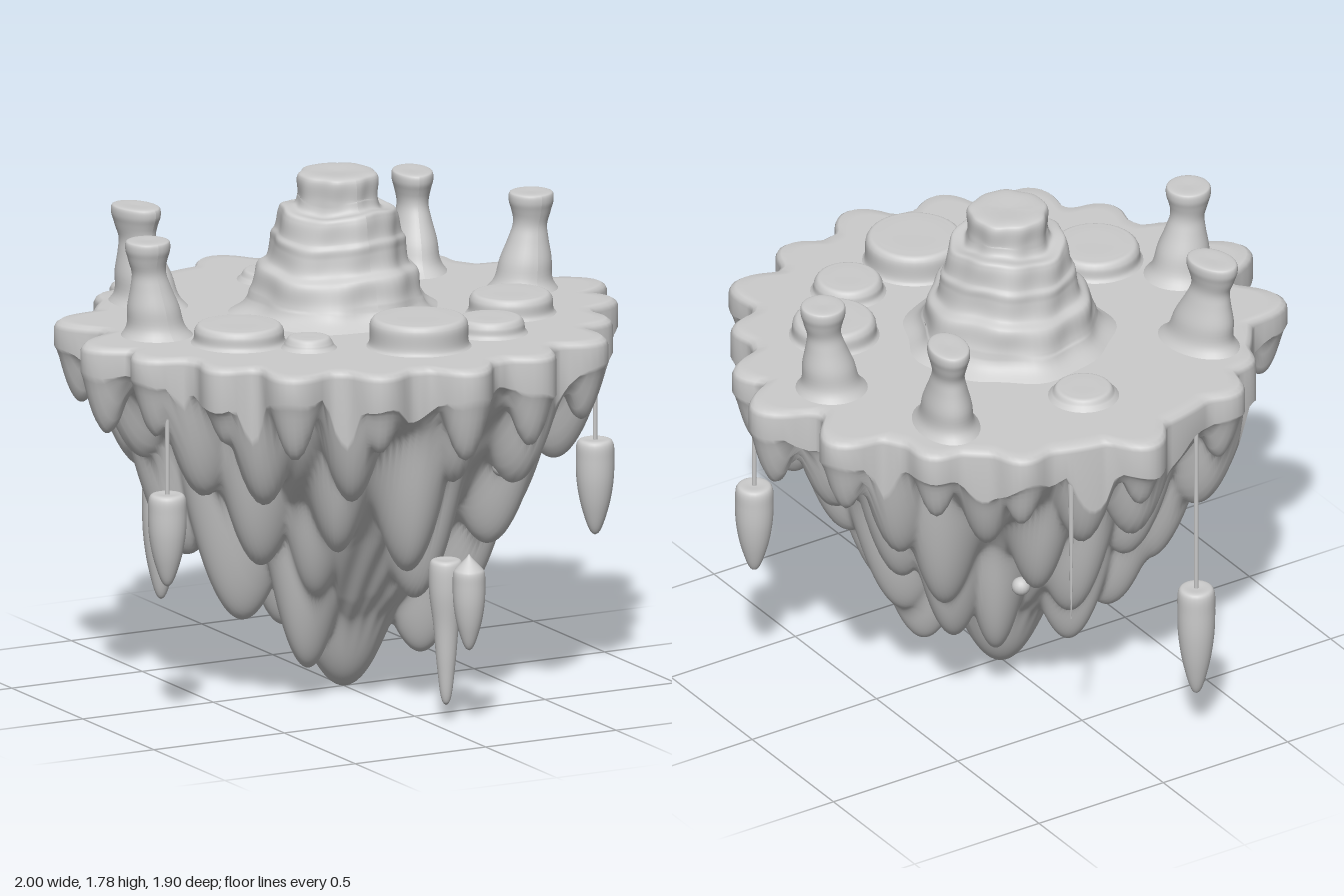
import * as THREE from 'three';

const material = new THREE.MeshStandardMaterial({ color: 0xcccccc });
const TOP = 1.3;

// Rim lobes: x, z of each tip
const rimTips = [
  [0, 0.95], [0, -0.95], [-1, 0], [1, 0], [-0.45, -0.8], [0.43, -0.8], [-0.6, -0.65], [0.68, -0.6],
  [-0.91, -0.37], [0.91, -0.34], [-0.92, 0.23], [0.92, 0.24], [-0.77, 0.5], [0.76, 0.5],
  [-0.61, 0.74], [0.6, 0.75], [-0.32, 0.87], [0.32, 0.87],
].map(([x, z]) => ({ a: Math.atan2(x, z), r: Math.hypot(x, z) }));

// Small seeded jitter in -1..1
let seed = 7;
const jitter = () => {
  seed = (seed * 16807) % 2147483647;
  return (seed / 2147483647) * 2 - 1;
};

const angleGap = (a, b) => Math.atan2(Math.sin(a - b), Math.cos(a - b));

// Smooth minimum, blends the spikes into the rock
const smin = (a, b, k) => {
  const h = Math.max(k - Math.abs(a - b), 0) / k;
  return Math.min(a, b) - h * h * k * 0.25;
};

// Scalloped outline of the island
function outline(a) {
  let r = 0.85;
  for (const t of rimTips) {
    const d = angleGap(a, t.a) * t.r;
    r = -smin(-r, -(t.r - 6.5 * d * d), 0.03);
  }
  return r;
}

// Hanging points: angle, radius, tip height, steepness across and along the slope
const spikes = [{ a: 0, r: 0, tip: 0.01, across: 9, along: 9 }];
for (const t of rimTips) {
  spikes.push({ a: t.a, r: t.r - 0.095, tip: 1 + jitter() * 0.03, across: 27, along: 27 });
}
for (const [n, r, tip, across] of [[15, 0.7, 0.8, 20], [11, 0.51, 0.53, 20], [8, 0.35, 0.33, 22]]) {
  for (let i = 0; i < n; i++) {
    spikes.push({
      a: ((i + 0.3 * jitter()) / n) * Math.PI * 2, r: r + jitter() * 0.03,
      tip: tip + jitter() * 0.07, across, along: 10,
    });
  }
}
for (const [x, z, tip] of [[-0.2, 0.12, 0.12], [0.24, 0.1, 0.12], [0.15, -0.2, 0.2], [-0.1, -0.25, 0.18]]) {
  spikes.push({ a: Math.atan2(x, z), r: Math.hypot(x, z), tip, across: 26, along: 12 });
}

// Core of the rock under the spikes: radius, height
const core = [[0, 0.05], [0.12, 0.2], [0.25, 0.37], [0.4, 0.6], [0.55, 0.8], [0.7, 0.99], [0.82, 1.15], [1.1, 1.3]];

function underside(r, a) {
  let i = 1;
  while (core[i][0] < r && i < core.length - 1) i++;
  const [r0, y0] = core[i - 1], [r1, y1] = core[i];
  let y = y0 + ((y1 - y0) * (r - r0)) / (r1 - r0);
  y += 0.04 * r * Math.sin(a * 9 + r * 8) + 0.02 * r * Math.sin(a * 23 - r * 25);
  y = smin(y, 1.22, 0.05);
  for (const s of spikes) {
    const gap = angleGap(a, s.a);
    const u = r * Math.sin(gap), v = r * Math.cos(gap) - s.r;
    const rise = s.across * u * u + s.along * v * v;
    if (rise < 1.4) y = smin(y, s.tip + rise, 0.06);
  }
  return Math.max(y, 0);
}

// One closed skin: underside from the centre out, then the deck back in
function islandGeometry() {
  const around = 260, under = 105;
  const deck = [[1, 1.275], [0.992, 1.29], [0.975, TOP], [0.93, TOP], [0.6, TOP], [0.3, TOP], [0, TOP]];
  const rows = under + 1 + deck.length;
  const pos = [], index = [];
  for (let i = 0; i < rows; i++) {
    for (let j = 0; j < around; j++) {
      const a = (j / around) * Math.PI * 2, R = outline(a);
      const t = i <= under ? i / under : deck[i - under - 1][0];
      const y = i <= under ? underside(t * R, a) : deck[i - under - 1][1];
      pos.push(t * R * Math.sin(a), y, t * R * Math.cos(a));
      if (i === rows - 1) continue;
      const p = i * around + j, q = i * around + ((j + 1) % around);
      index.push(p, q, p + around, q, q + around, p + around);
    }
  }
  const g = new THREE.BufferGeometry();
  g.setAttribute('position', new THREE.Float32BufferAttribute(pos, 3));
  g.setIndex(index);
  g.computeVertexNormals();
  return g;
}

// Lathe from [radius, height] points listed bottom to top, rounded into a smooth curve
function turned(points, smooth = 40, segments = 32) {
  const curve = new THREE.CatmullRomCurve3(points.map(([r, y]) => new THREE.Vector3(r, y, 0)), false, 'centripetal');
  const profile = curve.getPoints(smooth).map((p) => new THREE.Vector2(Math.max(p.x, 0), p.y));
  return new THREE.LatheGeometry(profile, segments);
}

export function createModel() {
  const model = new THREE.Group();
  const add = (name, geometry, x = 0, y = 0, z = 0, parent = model) => {
    const mesh = new THREE.Mesh(geometry, material);
    mesh.name = name;
    mesh.position.set(x, y, z);
    parent.add(mesh);
    return mesh;
  };

  add('floatingIsland', islandGeometry());

  // Stepped central hill with worn, uneven ledges
  const hill = turned([
    [0.37, 1.29], [0.31, 1.33], [0.285, 1.38], [0.27, 1.45], [0.238, 1.475], [0.225, 1.53], [0.222, 1.56],
    [0.21, 1.58], [0.2, 1.64], [0.19, 1.66], [0.148, 1.665], [0.135, 1.7], [0.135, 1.765], [0.125, 1.78], [0, 1.78],
  ], 90, 64);
  const p = hill.attributes.position;
  for (let i = 0; i < p.count; i++) {
    const x = p.getX(i), y = p.getY(i), z = p.getZ(i), a = Math.atan2(x, z);
    const f = 1 + 0.025 * Math.sin(a * 5 + y * 9) + 0.02 * Math.sin(a * 9 - y * 14);
    p.setXYZ(i, x * f, y + (y > 1.36 && y < 1.7 ? 0.01 * Math.sin(a * 3 + 1) : 0), z * f);
  }
  hill.computeVertexNormals();
  add('centralHill', hill, 0, 0, -0.045);

  // Four waisted pillars, the back pair stretched in plan
  const pillar = turned([
    [0.135, 1.285], [0.1, 1.33], [0.088, 1.4], [0.068, 1.47], [0.058, 1.52], [0.068, 1.57],
    [0.076, 1.6], [0.074, 1.625], [0.066, 1.63], [0, 1.63],
  ]);
  for (const side of [-1, 1]) {
    const front = add('sidePillar', pillar.clone(), side * 0.735, 0, -0.03);
    const back = add('backPillar', pillar.clone(), side * 0.53, 0, -0.49);
    back.scale.set(0.9, 1, 1.3);
    back.rotation.y = side * -0.25;
    // Lean the lower half towards the middle
    for (const [mesh, lx, lz] of [[front, -side * 0.035, 0], [back, -side * 0.01, 0.04]]) {
      const q = mesh.geometry.attributes.position;
      for (let i = 0; i < q.count; i++) {
        const k = Math.max(0, (1.55 - q.getY(i)) / 0.25);
        q.setXYZ(i, q.getX(i) + lx * k, q.getY(i), q.getZ(i) + lz * k);
      }
      mesh.geometry.computeVertexNormals();
    }
  }

  // Low round pads on the deck: x, z, radius, top
  for (const [x, z, r, top] of [
    [-0.51, 0.2, 0.15, 1.365], [-0.34, 0.38, 0.08, 1.34], [0, 0.53, 0.165, 1.4],
    [0.3, 0.48, 0.115, 1.355], [0.5, 0.26, 0.14, 1.37], [0.02, -0.54, 0.105, 1.335],
  ]) {
    add('deckPad', turned([
      [r + 0.025, 1.29], [r + 0.005, 1.31], [r, top - 0.02], [r - 0.012, top - 0.003], [r - 0.035, top], [0, top],
    ]), x, 0, z);
  }

  // Hanging drops: x, z, tip, top, radius, cord top, pointed cap
  for (const [x, z, tip, top, r, cord, cap] of [
    [-0.815, 0.255, 0.5, 0.82, 0.065, 1.1, 0], [0.825, 0.255, 0.49, 0.82, 0.065, 1.1, 0],
    [-0.27, -0.79, 0.17, 0.58, 0.064, 1.2, 0], [0.075, 0.745, 0.28, 0.565, 0.055, 0, 0.05],
    [0.055, 0.62, 0.065, 0.57, 0.058, 0, 0],
  ]) {
    const h = top - tip, drop = new THREE.Group();
    drop.name = 'hangingDrop';
    drop.position.set(x, 0, z);
    model.add(drop);
    const slim = cap || cord ? 1 : 0.78;
    add('dropBody', turned([
      [0, tip], [r * 0.22, tip + h * 0.03], [r * 0.68 * slim, tip + h * 0.27], [r * 0.95 * slim, tip + h * 0.55],
      [r, tip + h * 0.8], [r * 0.95, top - 0.012], [r * 0.8, top], [r * 0.2, top + cap * 0.7], [0, top + cap],
    ], 50, 24), 0, 0, 0, drop);
    if (cord) add('cord', new THREE.CylinderGeometry(0.008, 0.008, cord - top + 0.02, 8), 0, (cord + top) / 2, 0, drop);
  }

  // Thin needle at the back and small nubs on the rock
  add('needle', new THREE.CylinderGeometry(0.012, 0.002, 0.55, 8), 0.24, 0.9, -0.8);
  const nub = new THREE.SphereGeometry(0.032, 16, 12);
  for (const [x, y, z] of [[0.3, 0.85, 0.56], [0.43, 0.64, 0.13], [0.2, 0.56, -0.43]]) {
    add('rockNub', nub, x, y, z);
  }

  return model;
}
